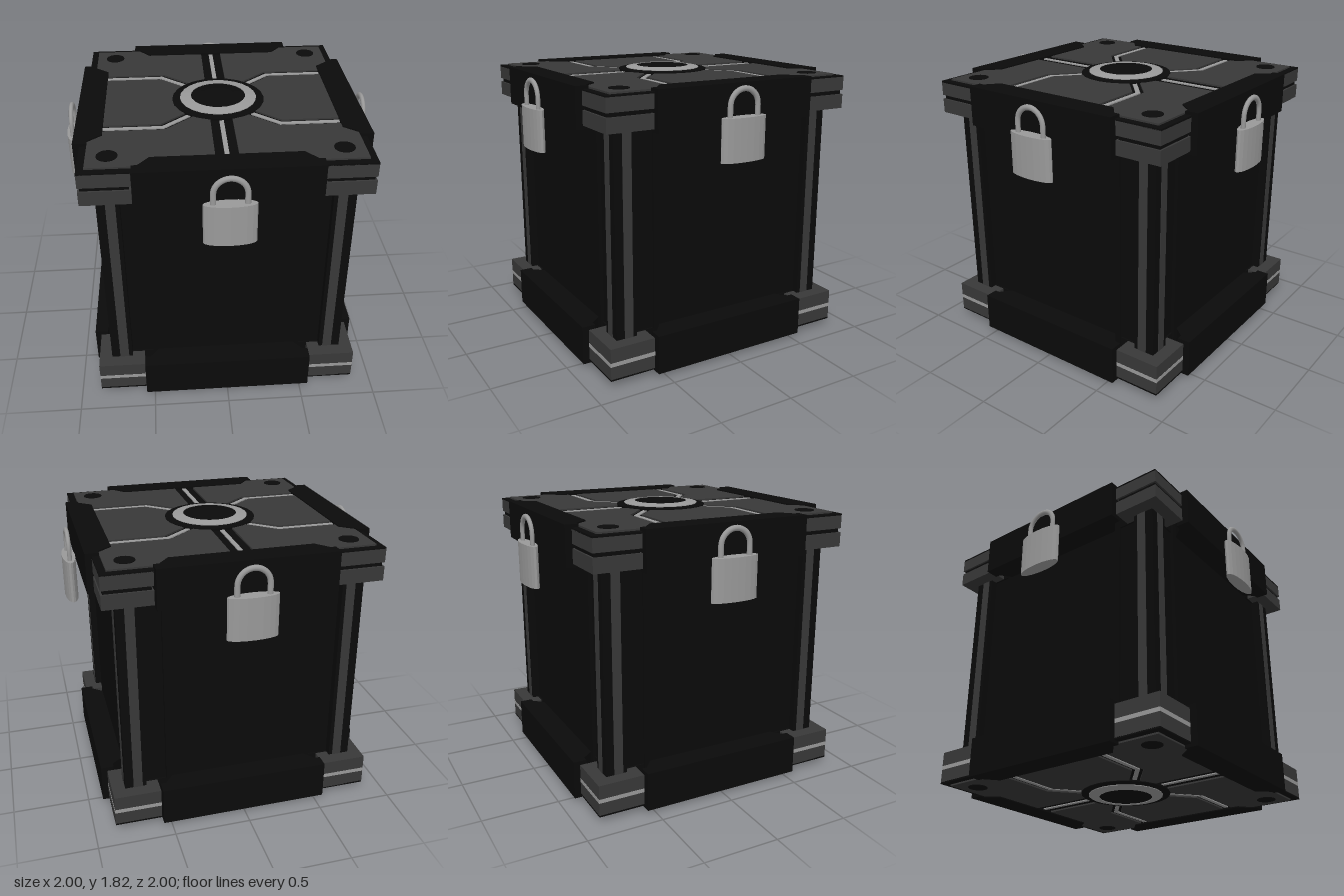
import * as THREE from 'three';

const mat = (color) => new THREE.MeshStandardMaterial({ color, flatShading: true });
const black = mat(0x0a0a0a), dark = mat(0x383838), light = mat(0x999999);
const smoothLight = new THREE.MeshStandardMaterial({ color: 0x999999 });

function add(parent, name, geometry, material) {
  const mesh = new THREE.Mesh(geometry, material);
  mesh.name = name;
  parent.add(mesh);
  return mesh;
}

// Box given by its minimum and maximum on each axis
function box(parent, name, material, x0, x1, y0, y1, z0, z1) {
  const m = add(parent, name, new THREE.BoxGeometry(x1 - x0, y1 - y0, z1 - z0), material);
  m.position.set((x0 + x1) / 2, (y0 + y1) / 2, (z0 + z1) / 2);
  return m;
}

// Flat plate from an outline in (x, z), between two heights
function plate(parent, name, material, points, y0, y1) {
  const shape = new THREE.Shape(points.map(([x, z]) => new THREE.Vector2(x, -z)));
  const g = new THREE.ExtrudeGeometry(shape, { depth: y1 - y0, bevelEnabled: false });
  g.rotateX(-Math.PI / 2).translate(0, y0, 0);
  return add(parent, name, g, material);
}

const mirror = (points, sx, sz) => points.map(([x, z]) => [x * sx, z * sz]);
const lathe = (points) =>
  new THREE.LatheGeometry(points.map(([x, y]) => new THREE.Vector2(x, y)), 24);

// Lid, heights measured from the middle of the crate; also used upside down as the base
function createCap(name, stripeMaterial, stripeHalf, stripeOut) {
  const cap = new THREE.Group();
  cap.name = name;
  box(cap, 'capSlab', black, -0.865, 0.865, 0.855, 0.866, -0.865, 0.865);
  box(cap, 'capCore', black, -0.74, 0.74, 0.65, 0.86, -0.74, 0.74);

  // Edge rails with tapered inner lips
  const rail = [[-0.555, 0.905], [0.555, 0.905], [0.555, 0.82], [0.52, 0.82],
    [0.45, 0.735], [-0.45, 0.735], [-0.52, 0.82], [-0.555, 0.82]];
  for (let i = 0; i < 4; i++) {
    plate(cap, 'edgeRail', black, rail, 0.63, 0.885).rotation.y = i * Math.PI / 2;
  }

  const cornerPanel = [[0.07, 0.735], [0.07, 0.2], [0.13, 0.2], [0.352, 0.395], [0.735, 0.395],
    [0.735, 0.45], [0.82, 0.52], [0.82, 0.82], [0.52, 0.82], [0.45, 0.735]];
  const bentStrip = [[0.735, 0.345], [0.735, 0.373], [0.36, 0.373], [0.16, 0.2],
    [0.18, 0.18], [0.37, 0.345]];
  for (const sx of [1, -1]) {
    // Side panels between the bent strips
    plate(cap, 'sidePanel', dark, mirror([[0.735, 0.325], [0.378, 0.325], [0.2, 0.17],
      [0.2, -0.17], [0.378, -0.325], [0.735, -0.325]], sx, 1), 0.86, 0.877);
    box(cap, 'straightStrip', light, -0.014, 0.014, 0.86, 0.873,
      sx > 0 ? 0.2 : -0.735, sx > 0 ? 0.735 : -0.2);
    for (const sz of [1, -1]) {
      plate(cap, 'cornerPanel', dark, mirror(cornerPanel, sx, sz), 0.86, 0.877);
      plate(cap, 'bentStrip', light, mirror(bentStrip, sx, sz), 0.86, 0.873);
      const bolt = add(cap, 'cornerBolt', new THREE.CylinderGeometry(0.063, 0.063, 0.02, 20), black);
      bolt.position.set(sx * 0.695, 0.871, sz * 0.695);

      // Two-layer corner block with a stripe between the layers
      const corner = new THREE.Group();
      corner.name = 'cornerBlock';
      corner.position.set(sx * 0.7125, 0, sz * 0.7125);
      const r = 0.1525, s = r + stripeOut, mid = 0.758;
      box(corner, 'upperLayer', dark, -r, r, mid + stripeHalf, 0.858, -r, r);
      box(corner, 'stripe', stripeMaterial, -s, s, mid - stripeHalf, mid + stripeHalf, -s, s);
      box(corner, 'lowerLayer', dark, -r, r, 0.653, mid - stripeHalf, -r, r);
      cap.add(corner);
    }
  }

  // Central collar, ring and slightly domed hub
  add(cap, 'hubCollar', lathe([[0.3, 0.86], [0.3, 0.882], [0.25, 0.888]]), black);
  add(cap, 'hubRing', lathe([[0.25, 0.88], [0.25, 0.892], [0.178, 0.904], [0.178, 0.89]]), light);
  add(cap, 'hubDome', lathe([[0.18, 0.9], [0.1, 0.908], [0, 0.91]]), black);
  return cap;
}

function createPadlock() {
  const lock = new THREE.Group();
  lock.name = 'padlock';
  const body = add(lock, 'padlockBody', new THREE.CylinderGeometry(0.16, 0.16, 0.27, 20), light);
  body.scale.z = 0.265;
  body.position.y = 1.47;
  // Shackle: two legs joined by a half circle
  const path = [[-0.1, 1.58], [-0.1, 1.63]];
  for (let i = 0; i <= 10; i++) {
    const a = Math.PI * (1 - i / 10);
    path.push([0.1 * Math.cos(a), 1.672 + 0.1 * Math.sin(a)]);
  }
  path.push([0.1, 1.63], [0.1, 1.58]);
  const curve = new THREE.CatmullRomCurve3(path.map(([x, y]) => new THREE.Vector3(x, y, 0)));
  add(lock, 'shackle', new THREE.TubeGeometry(curve, 40, 0.018, 10), smoothLight).scale.z = 0.8;
  return lock;
}

export function createModel() {
  const model = new THREE.Group();
  model.name = 'crate';
  const middle = 0.915;

  box(model, 'body', black, -0.73, 0.73, 0.2, 1.63, -0.73, 0.73);

  const top = createCap('lid', black, 0.013, -0.012);
  top.position.y = middle;
  const base = createCap('base', light, 0.013, 0.001);
  base.position.y = middle;
  base.rotation.x = Math.PI;
  model.add(top, base);

  for (let i = 0; i < 4; i++) {
    const side = new THREE.Group();
    side.name = 'side';
    side.rotation.y = i * Math.PI / 2;
    // Raised wall panel, corner post and its facing strips
    box(side, 'wallPanel', black, -0.5, 0.5, 0.2, 1.63, 0.7, 0.75);
    box(side, 'cornerPost', black, 0.64, 0.78, 0.2, 1.63, 0.64, 0.78);
    for (const s of [1, -1]) {
      const strip = box(side, 'postStrip', dark, 0.665, 0.725, 0.2, 1.63, 0.77, 0.783);
      strip.position.x *= s;
    }
    const lock = createPadlock();
    lock.position.z = 0.957;
    side.add(lock);
    model.add(side);
  }
  return model;
}
